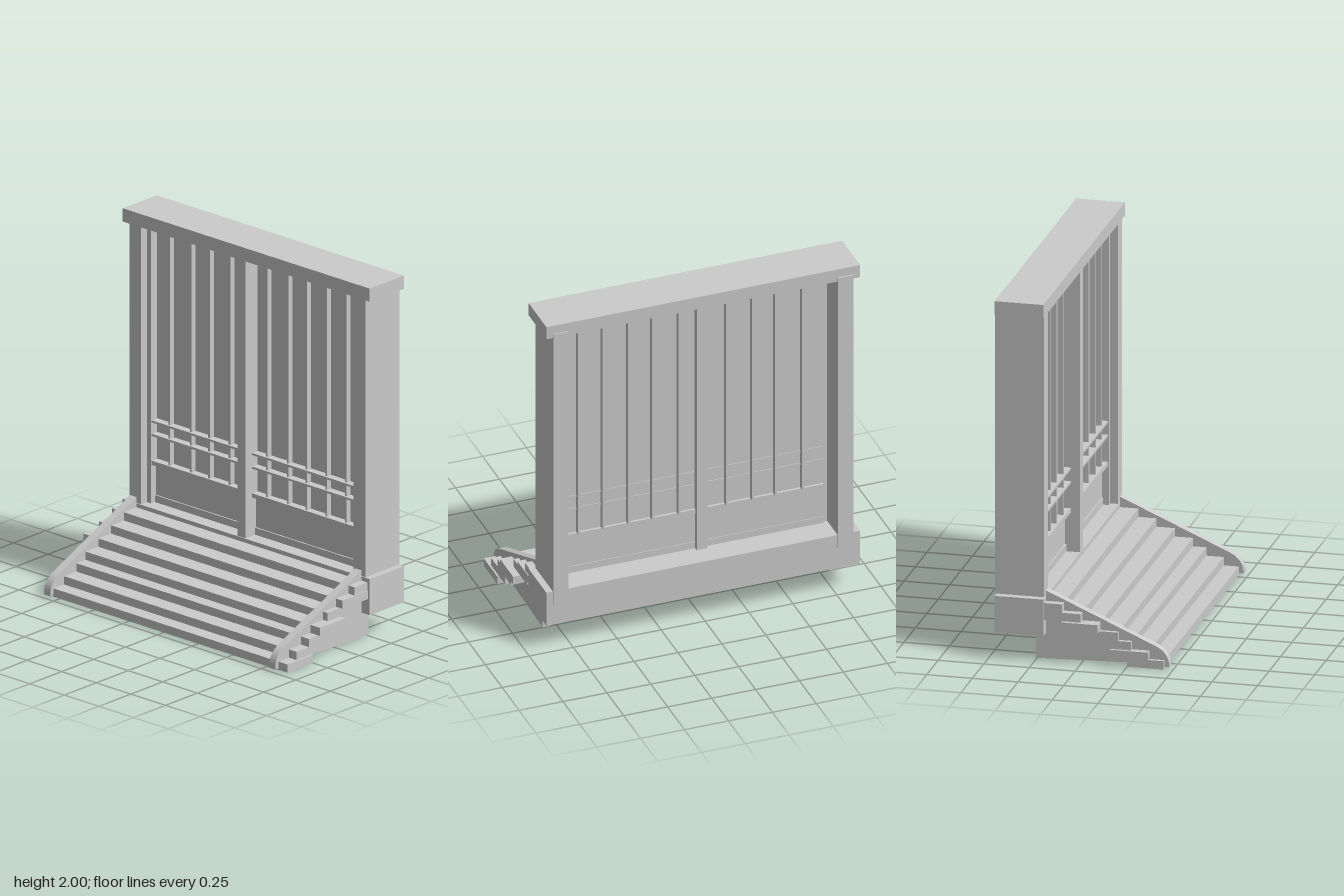
import * as THREE from 'three';

const material = new THREE.MeshStandardMaterial({ color: 0xcccccc });

export function createModel() {
  const model = new THREE.Group();
  model.name = 'latticeGateWithSteps';

  // Box given by its minimum and maximum on each axis
  const box = (name, x0, x1, y0, y1, z0, z1) => {
    const mesh = new THREE.Mesh(new THREE.BoxGeometry(x1 - x0, y1 - y0, z1 - z0), material);
    mesh.position.set((x0 + x1) / 2, (y0 + y1) / 2, (z0 + z1) / 2);
    mesh.name = name;
    model.add(mesh);
  };

  // Outer frame
  box('lintel', -0.895, 0.89, 1.925, 2, -0.467, -0.2);
  box('sill', -0.895, 0.89, 0.145, 0.35, -0.467, -0.2);
  for (const s of [-1, 1]) {
    const span = (a, b) => (s > 0 ? [a, b] : [-b, -a]);
    box('sidePost', ...span(0.767, 0.853), 0.35, 1.925, -0.466, -0.206);
    box('postBackPlate', ...span(0.767, 0.853), 0.27, 1.95, -0.475, -0.46);
    box('sideStile', ...span(0.737, 0.767), 0.35, 1.925, -0.31, -0.25);
  }
  box('centrePost', -0.072, -0.012, 0.35, 1.925, -0.345, -0.205);

  // Two lattice doors, each with a backing, lower panel, rails and bars
  const doors = [
    { x0: -0.742, x1: -0.072, bars: [-0.62, -0.465, -0.333, -0.185] },
    { x0: -0.012, x1: 0.735, bars: [0.085, 0.235, 0.37, 0.515, 0.655] },
  ];
  for (const { x0, x1, bars } of doors) {
    box('doorBacking', x0, x1, 0.58, 1.925, -0.31, -0.298);
    box('lowerPanel', x0, x1, 0.35, 0.57, -0.318, -0.288);
    box('bottomRail', x0, x1, 0.35, 0.39, -0.322, -0.28);
    box('middleRail', x0, x1, 0.568, 0.592, -0.325, -0.255);
    for (const y of [0.738, 0.815]) box('crossBar', x0, x1, y - 0.006, y + 0.006, -0.314, -0.255);
    for (const x of bars) box('latticeBar', x - 0.006, x + 0.006, 0.59, 1.925, -0.34, -0.267);
  }

  // Uneven step planks: [left, right, back, front], from the ground up
  const planks = [
    [-0.86, 0.895, 0.25, 0.45],
    [-0.878, 0.885, 0.16, 0.368],
    [-0.862, 0.885, 0.07, 0.272],
    [-0.862, 0.9, 0.0, 0.2],
    [-0.903, 0.86, -0.1, 0.1],
    [-0.882, 0.877, -0.2, 0.0],
    [-0.882, 0.872, -0.2, -0.1],
  ];
  const rise = 0.0467;
  planks.forEach(([x0, x1, z0, z1], i) => box('stepPlank', x0, x1, i * rise, (i + 1) * rise, z0, z1));

  // Stringers with a sloped top and rounded nose; shape x is model z
  const profile = new THREE.Shape();
  profile.moveTo(-0.2, 0.385);
  profile.lineTo(-0.2, 0.145);
  profile.lineTo(-0.255, 0.145);
  profile.lineTo(-0.255, 0.003);
  profile.lineTo(0.25, 0.018);
  profile.lineTo(0.475, 0.008);
  profile.bezierCurveTo(0.48, 0.06, 0.45, 0.1, 0.4, 0.122);
  profile.closePath();
  const stringerGeometry = new THREE.ExtrudeGeometry(profile, { depth: 0.045, bevelEnabled: false, curveSegments: 8 });
  stringerGeometry.rotateY(-Math.PI / 2); // depth now runs towards -x
  for (const x of [-0.795, 0.83]) {
    const stringer = new THREE.Mesh(stringerGeometry, material);
    stringer.name = 'stringer';
    stringer.position.x = x;
    model.add(stringer);
  }

  return model;
}
